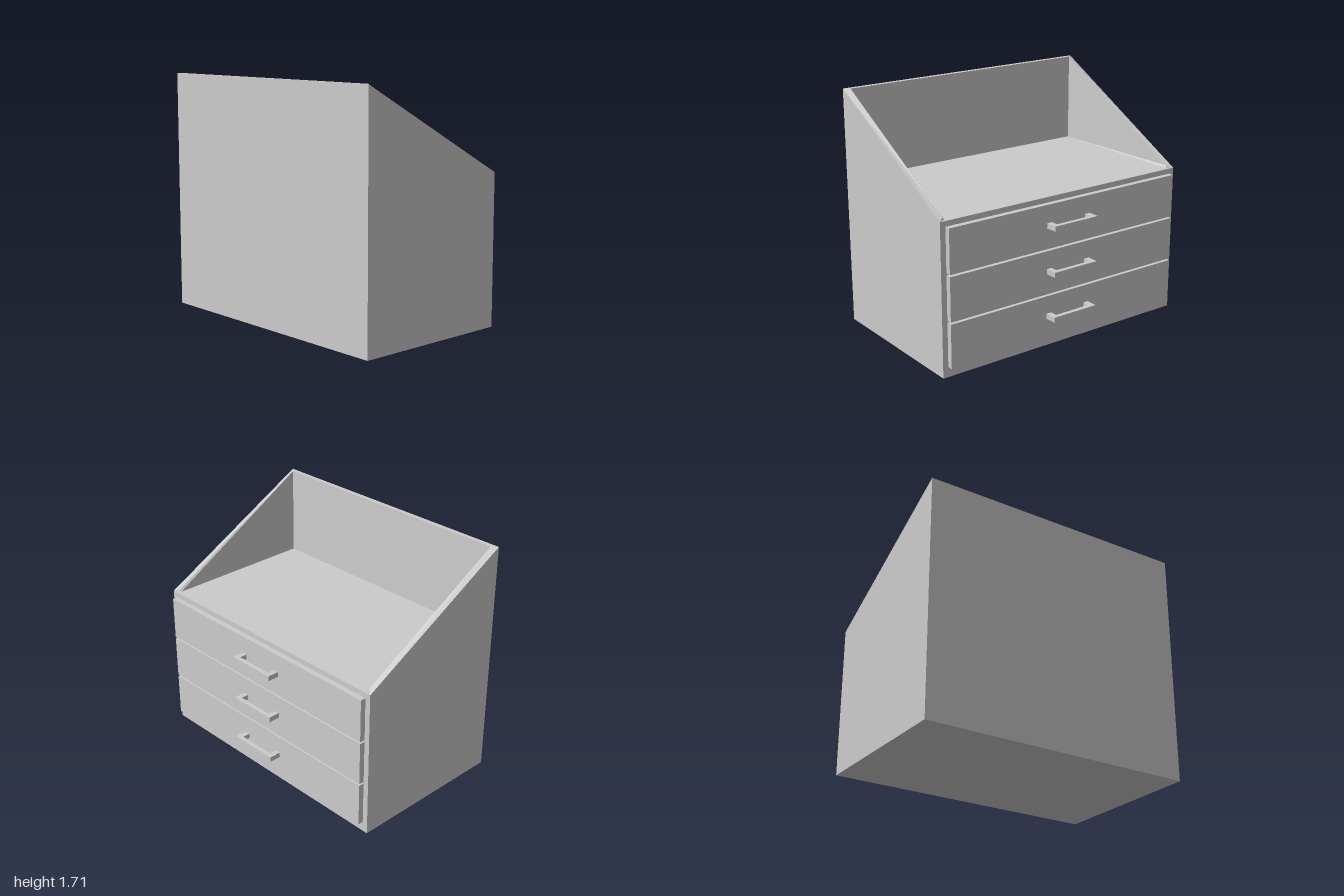
import * as THREE from 'three';

const material = new THREE.MeshStandardMaterial({ color: 0xcccccc, flatShading: true });

// Flat-faced geometry from convex polygons with counter-clockwise corners
function facesGeometry(faces) {
  const positions = [];
  for (const f of faces)
    for (let i = 1; i < f.length - 1; i++) positions.push(...f[0], ...f[i], ...f[i + 1]);
  const geometry = new THREE.BufferGeometry();
  geometry.setAttribute('position', new THREE.Float32BufferAttribute(positions, 3));
  geometry.computeVertexNormals();
  return geometry;
}

function box(parent, name, [x0, x1], [y0, y1], [z0, z1]) {
  const mesh = new THREE.Mesh(new THREE.BoxGeometry(x1 - x0, y1 - y0, z1 - z0), material);
  mesh.position.set((x0 + x1) / 2, (y0 + y1) / 2, (z0 + z1) / 2);
  mesh.name = name;
  parent.add(mesh);
}

// Cabinet with a sloping rim around an open tray
function cabinet() {
  const front = 0.655, back = -0.53, top = 1.71, floor = 1.075;
  // corners on the model's left (+x), and their mirror images
  const left = {
    baseFront: [1, 0, front], baseBack: [1, 0, back],
    topFront: [1, top, front], topBack: [1, floor, back],
    rimFront: [0.96, top, 0.62], rimBack: [0.96, 1.092, -0.5],
    floorFront: [0.948, floor, 0.605], floorBack: [0.948, floor, -0.5],
  };
  const right = {};
  for (const key in left) right[key] = [-left[key][0], left[key][1], left[key][2]];

  // side wall, sloping rim, inner wall and the small rim end
  const sideFaces = (p) => [
    [p.baseFront, p.baseBack, p.topBack, p.topFront],
    [p.topFront, p.topBack, p.rimBack, p.rimFront],
    [p.rimFront, p.rimBack, p.floorBack, p.floorFront],
    [p.topBack, p.floorBack, p.rimBack],
  ];
  // a strip between two matching edges of the left and right corners
  const across = (a, b) => [right[a], left[a], left[b], right[b]];

  const mesh = new THREE.Mesh(facesGeometry([
    ...sideFaces(left),
    ...sideFaces(right).map((f) => f.reverse()),
    across('baseFront', 'topFront'),
    across('topFront', 'rimFront'),
    across('rimFront', 'floorFront'),
    across('floorFront', 'floorBack'),
    across('floorBack', 'topBack'),
    across('topBack', 'baseBack'),
    across('baseBack', 'baseFront'),
  ]), material);
  mesh.name = 'cabinet';
  return mesh;
}

// Drawer front with a squared bow handle
function drawer(y) {
  const group = new THREE.Group();
  group.name = 'drawer';
  box(group, 'drawerFront', [-0.96, 0.96], [0, 0.312], [-0.57, -0.53]);
  const height = [0.148, 0.184];
  box(group, 'handleBar', [-0.183, 0.183], height, [-0.656, -0.624]);
  for (const x of [-0.163, 0.163])
    box(group, 'handlePost', [x - 0.02, x + 0.02], height, [-0.624, -0.57]);
  group.position.y = y;
  return group;
}

export function createModel() {
  const model = new THREE.Group();
  model.name = 'drawerCabinet';
  model.add(cabinet());
  for (let i = 0; i < 3; i++) model.add(drawer(0.073 + i * 0.326));
  return model;
}
